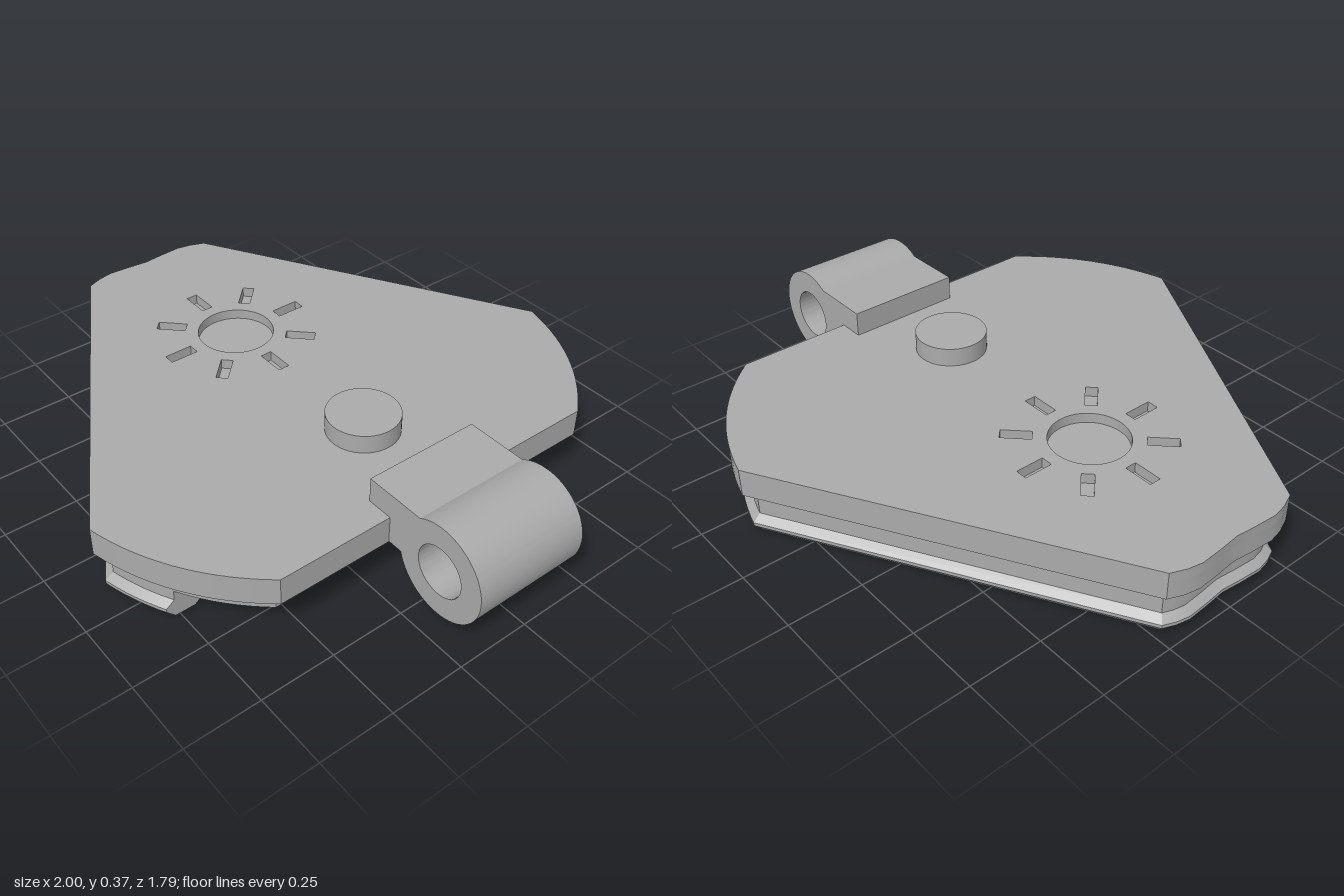
import * as THREE from 'three';
import { toCreasedNormals } from 'three/addons/utils/BufferGeometryUtils.js';

const V = (x, y) => new THREE.Vector2(x, y);

// Plate outline in (x, z), counter-clockwise, from the right edge round to the right edge
function makeOutline() {
  const arc = new THREE.QuadraticBezierCurve(V(0.63, 0.59), V(0.44, 0.827), V(0.145, 0.895)).getPoints(14);
  const half = [...arc, V(-0.97, 0.25), V(-0.99, 0.2), V(-1, 0.15), V(-0.995, 0.07)];
  const mirrored = half.slice().reverse().map(p => V(p.x, -p.y));
  return [...half, V(-0.988, 0), ...mirrored];
}

// Moves an outline inwards by d, keeping the number of points
function inset(points, d) {
  const n = points.length;
  const normal = (a, b) => V(a.y - b.y, b.x - a.x).normalize();
  const out = points.map((p, i) => {
    const n1 = normal(points[(i + n - 1) % n], p);
    const n2 = normal(p, points[(i + 1) % n]);
    return p.clone().addScaledVector(n1.clone().add(n2), d / (1 + n1.dot(n2)));
  });
  // keep the wavy end between its two corners
  const limit = out[15].y;
  for (let i = 16; i < n - 16; i++) out[i].y = THREE.MathUtils.clamp(out[i].y, -limit, limit);
  return out;
}

// Collapses everything beyond x = cut onto the crossing points
function clip(points, cut) {
  const inside = points.map(p => p.x <= cut);
  const first = inside.indexOf(true), last = inside.lastIndexOf(true);
  const cross = (a, b) => a.clone().lerp(b, (cut - a.x) / (b.x - a.x));
  const start = cross(points[first - 1], points[first]);
  const end = cross(points[last], points[last + 1]);
  return points.map((p, i) => (i < first ? start : i > last ? end : p));
}

// Horizontal slab between two heights
function slab(shape, bottom, top) {
  const geo = new THREE.ExtrudeGeometry(shape, { depth: top - bottom, bevelEnabled: false, curveSegments: 32 });
  geo.rotateX(Math.PI / 2).translate(0, top, 0);
  return toCreasedNormals(geo, 0.4);
}

// Sealing rim: a closed (inset, height) profile swept along the outline
function rimGeometry(outline, cut) {
  const profile = [[0.047, 0.1], [0.047, 0.065], [0.022, 0.043], [0.022, 0.031], [0.047, 0], [0.105, 0], [0.21, 0.1]];
  const rows = profile.map(([d, y]) => clip(inset(outline, d), cut).map(p => new THREE.Vector3(p.x, y, p.y)));
  const m = rows.length, n = outline.length, tris = [];
  const tri = (a, b, c) => {
    if (!a.equals(b) && !b.equals(c) && !a.equals(c)) tris.push(a, b, c);
  };
  for (let j = 0; j < m; j++) {
    const r = rows[j], s = rows[(j + 1) % m];
    for (let i = 0; i < n - 1; i++) {
      tri(r[i], r[i + 1], s[i + 1]);
      tri(r[i], s[i + 1], s[i]);
    }
  }
  // flat cut ends
  for (let k = 1; k < m - 1; k++) {
    const a = (5 + k) % m, b = (6 + k) % m;
    tri(rows[5][0], rows[a][0], rows[b][0]);
    tri(rows[5][n - 1], rows[b][n - 1], rows[a][n - 1]);
  }
  return toCreasedNormals(new THREE.BufferGeometry().setFromPoints(tris), 0.4);
}

export function createModel() {
  const group = new THREE.Group();
  const grey = new THREE.MeshStandardMaterial({ color: 0xaaaaaa });
  grey.name = 'grey';
  const add = (name, geo) => {
    const mesh = new THREE.Mesh(geo, grey);
    mesh.name = name;
    group.add(mesh);
    return mesh;
  };

  const outline = makeOutline();
  const top = 0.26, recess = 0.225;

  // Top plate: solid lower layer, upper layer pierced by the dial and its rays
  add('plateBase', slab(new THREE.Shape(outline), 0.165, recess));
  const face = new THREE.Shape(outline);
  const dialX = -0.405;
  face.holes.push(new THREE.Path().absarc(dialX, 0, 0.13, 0, Math.PI * 2, true));
  for (let i = 0; i < 8; i++) {
    const corners = [[0.175, -0.02], [0.175, 0.02], [0.275, 0.02], [0.275, -0.02]];
    face.holes.push(new THREE.Path(corners.map(([x, y]) =>
      V(x, y).rotateAround(V(0, 0), i * Math.PI / 4).add(V(dialX, 0)))));
  }
  add('plateFace', slab(face, recess, top));

  // Inset step under the plate and the sealing rim below it
  add('lowerStep', slab(new THREE.Shape(inset(outline, 0.047)), 0.1, 0.165));
  add('sealingRim', rimGeometry(outline, 0.355));

  // Round button
  add('button', new THREE.CylinderGeometry(0.12, 0.12, 0.075, 48)).position.set(0.275, 0.2875, 0);

  // Hinge arm and barrel with a through hole
  const cx = 0.838, cy = 0.21, r = 0.162;
  const hinge = new THREE.Shape();
  hinge.moveTo(0.54, 0.345);
  hinge.lineTo(0.54, 0.167);
  hinge.absarc(cx, cy, r, Math.PI + Math.asin(0.043 / r), Math.PI * 3 - Math.asin(0.135 / r), false);
  hinge.closePath();
  hinge.holes.push(new THREE.Path().absarc(cx, cy, 0.085, 0, Math.PI * 2, true));
  const hingeGeo = new THREE.ExtrudeGeometry(hinge, { depth: 0.4, bevelEnabled: false, curveSegments: 40 });
  hingeGeo.translate(0, 0, -0.2);
  add('hinge', toCreasedNormals(hingeGeo, 0.4));

  return group;
}
